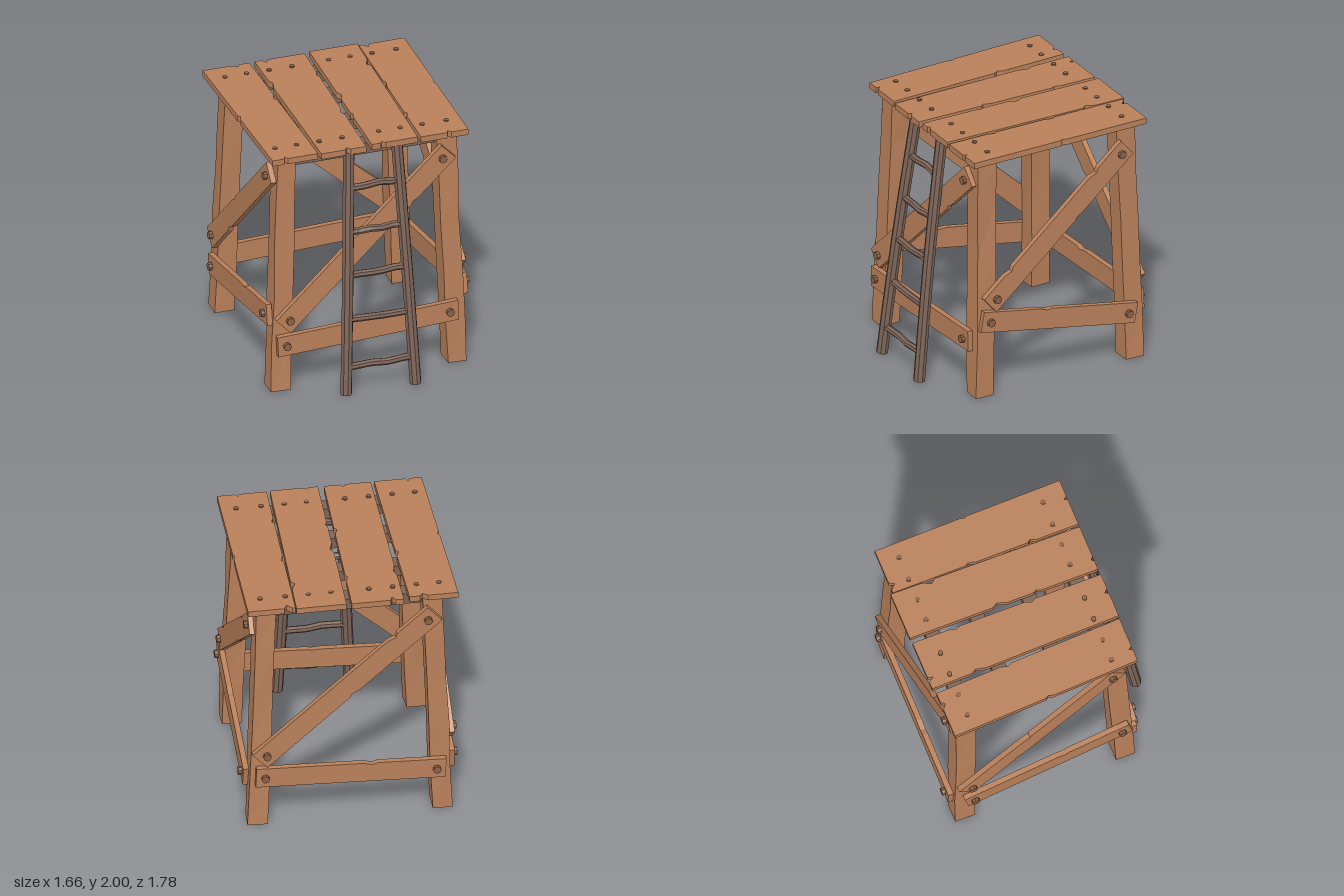
import * as THREE from 'three';

const H = 1.945; // leg height
const mat = (color) => new THREE.MeshStandardMaterial({ color, flatShading: true });
const V = (x, y, z) => new THREE.Vector3(x, y, z);
const lerp = THREE.MathUtils.lerp;

export function createModel() {
  const group = new THREE.Group();
  const wood = mat(0xb9805a), dark = mat(0x7d6458), nailMat = mat(0x8c6248);

  let seed = 7;
  const rand = () => (seed = (seed * 16807) % 2147483647) / 2147483647 - 0.5;

  const add = (name, geo, material, parent = group) => {
    const mesh = new THREE.Mesh(geo, material);
    mesh.name = name;
    parent.add(mesh);
    return mesh;
  };

  // Counter-clockwise outline with triangular chips [edge, position, half width, depth]
  const chippedBoard = (corners, chips, depth) => {
    const pts = [];
    corners.forEach(([x, y], i) => {
      const [nx, ny] = corners[(i + 1) % corners.length];
      const len = Math.hypot(nx - x, ny - y), dx = (nx - x) / len, dy = (ny - y) / len;
      pts.push(new THREE.Vector2(x, y));
      chips.filter((c) => c[0] === i).sort((a, b) => a[1] - b[1]).forEach(([, t, w, d]) => {
        const at = (s, inset) => new THREE.Vector2(x + dx * s - dy * inset, y + dy * s + dx * inset);
        pts.push(at(t * len - w, 0), at(t * len - w * 0.3, d), at(t * len + w, 0));
      });
    });
    return new THREE.ExtrudeGeometry(new THREE.Shape(pts), { depth, bevelEnabled: false });
  };

  // Deck planks: back-left x, back-right x, front-left x, front-right x, back z, front z, base y, chips
  const planks = [
    [-0.815, -0.445, -0.77, -0.41, -0.85, 0.645, 1.943, [[0, 0.3, 0.015, 0.03], [1, 0.62, 0.04, 0.02], [3, 0.52, 0.03, 0.015], [2, 0.3, 0.03, 0.03]]],
    [-0.4, -0.005, -0.385, -0.03, -0.865, 0.65, 1.938, [[0, 0.6, 0.02, 0.03], [1, 0.38, 0.04, 0.02], [1, 0.78, 0.04, 0.015], [3, 0.25, 0.06, 0.02], [2, 0.8, 0.02, 0.04]]],
    [0.035, 0.415, 0.015, 0.38, -0.87, 0.645, 1.944, [[0, 0.25, 0.02, 0.02], [1, 0.8, 0.05, 0.03], [3, 0.48, 0.06, 0.025], [3, 0.68, 0.03, 0.015]]],
    [0.42, 0.78, 0.405, 0.78, -0.85, 0.645, 1.94, [[0, 0.6, 0.015, 0.03], [1, 0.52, 0.03, 0.01], [3, 0.42, 0.05, 0.015], [3, 0.75, 0.03, 0.02], [2, 0.85, 0.03, 0.04]]],
  ];
  for (const [bl, br, fl, fr, zb, zf, y, chips] of planks) {
    const geo = chippedBoard([[fl, -zf], [fr, -zf], [br, -zb], [bl, -zb]], chips, 0.048);
    geo.rotateX(-Math.PI / 2);
    add('deckPlank', geo, wood).position.y = y;
  }

  // Nail heads
  for (const x of [-0.69, -0.52, -0.34, -0.16, 0.13, 0.3, 0.475, 0.665])
    for (const z of [-0.7, 0.465])
      add('nail', new THREE.CylinderGeometry(0.02, 0.02, 0.03, 8), nailMat).position.set(x, 1.983, z);

  // Joists under the deck
  for (const z of [-0.69, -0.33, 0.09, 0.47])
    add('joist', new THREE.BoxGeometry(1.2, 0.09, 0.112), dark).position.set(0, 1.9, z);

  // Legs lean inward, with slightly uneven edges
  for (const sx of [-1, 1]) for (const front of [true, false]) {
    const geo = new THREE.BoxGeometry(0.15, H, 0.157, 1, 5, 1).toNonIndexed();
    const p = geo.attributes.position, offsets = {};
    for (let i = 0; i < p.count; i++) {
      const t = p.getY(i) / H + 0.5;
      const key = [p.getX(i), p.getY(i), p.getZ(i)].map((n) => n.toFixed(2)).join();
      const o = (offsets[key] ??= [rand() * 0.012, rand() * 0.012]);
      p.setXYZ(i, p.getX(i) + sx * lerp(0.7, 0.63, t) + o[0], t * H,
        p.getZ(i) + (front ? lerp(0.547, 0.488, t) : lerp(-0.755, -0.712, t)) + o[1]);
    }
    geo.computeVertexNormals();
    add(front ? 'frontLeg' : 'backLeg', geo, wood);
  }

  // Outer leg faces that the boards are bolted to: point on the face and outward normal
  const faces = {
    front: [(a, y) => V(a, y, lerp(0.625, 0.567, y / H)), V(0, 0, 1)],
    back: [(a, y) => V(a, y, lerp(-0.833, -0.79, y / H)), V(0, 0, -1)],
    right: [(a, y) => V(lerp(0.775, 0.705, y / H), y, a), V(1, 0, 0)],
    left: [(a, y) => V(lerp(-0.775, -0.705, y / H), y, a), V(-1, 0, 0)],
  };

  // Bolted board between two points on a face
  const boltedBoard = (name, side, a0, y0, a1, y1, chips) => {
    const [at, out] = faces[side];
    const p = at(a0, y0), q = at(a1, y1), len = p.distanceTo(q), w = 0.083, thick = 0.042;
    const dir = q.clone().sub(p).normalize();
    const up = out.clone().cross(dir).normalize(), normal = dir.clone().cross(up);
    const board = new THREE.Group();
    board.name = name;
    board.applyMatrix4(new THREE.Matrix4().makeBasis(dir, up, normal).setPosition(p));
    group.add(board);
    add(name + 'Board', chippedBoard([[0, -w], [len, -w], [len, w], [0, w]], chips, thick), wood, board);
    for (const x of [0.07, len - 0.07]) {
      const bolt = add('bolt', new THREE.CylinderGeometry(0.031, 0.031, 0.05, 8), nailMat, board);
      bolt.rotation.x = Math.PI / 2;
      bolt.position.set(x, 0, thick + 0.003);
    }
  };
  boltedBoard('frontRail', 'front', -0.73, 0.39, 0.7, 0.46, [[2, 0.45, 0.05, 0.008]]);
  boltedBoard('backRail', 'back', 0.72, 0.45, -0.72, 0.39, [[2, 0.4, 0.06, 0.015]]);
  boltedBoard('rightRail', 'right', 0.58, 0.64, -0.75, 0.39, [[2, 0.6, 0.05, 0.012]]);
  boltedBoard('leftRail', 'left', -0.75, 0.39, 0.58, 0.64, [[2, 0.4, 0.05, 0.012]]);
  boltedBoard('frontBrace', 'front', -0.685, 0.555, 0.635, 1.805, [[0, 0.75, 0.04, 0.012]]);
  boltedBoard('backBrace', 'back', 0.69, 0.6, -0.64, 1.8, [[2, 0.2, 0.05, 0.02], [0, 0.5, 0.05, 0.015]]);
  boltedBoard('rightBrace', 'right', 0.51, 0.76, -0.7, 1.77, [[2, 0.82, 0.05, 0.02], [2, 0.2, 0.05, 0.02], [0, 0.6, 0.04, 0.01]]);
  boltedBoard('leftBrace', 'left', -0.75, 0.61, 0.5, 1.81, [[2, 0.55, 0.04, 0.012], [0, 0.3, 0.05, 0.015]]);

  // Round pole along a path, with capped ends
  const pole = (name, pts, radius, sides, segs) => {
    const curve = new THREE.CatmullRomCurve3(pts);
    add(name, new THREE.TubeGeometry(curve, segs, radius, sides, false), dark);
    for (const t of [0, 1]) {
      const cap = add(name + 'End', new THREE.CircleGeometry(radius, sides), dark);
      const end = curve.getPoint(t), tan = curve.getTangent(t).multiplyScalar(t ? 1 : -1);
      cap.position.copy(end);
      cap.lookAt(end.clone().add(tan));
    }
  };

  // Ladder
  const railX = (s, y) => (s < 0 ? lerp(-0.255, -0.155, y / 1.94) : lerp(0.295, 0.227, y / 1.94));
  const railZ = (y) => lerp(0.84, 0.605, y / 1.94) + 0.012 * Math.sin(y * 1.6);
  for (const s of [-1, 1])
    pole('ladderRail', [0.006, 0.5, 1.0, 1.5, 1.94].map((y) => V(railX(s, y), y, railZ(y))), 0.045, 8, 8);
  for (const y of [0.225, 0.6, 0.96, 1.305, 1.655]) {
    const pts = [0, 0.2, 0.4, 0.6, 0.8, 1].map((t) =>
      V(lerp(railX(-1, y), railX(1, y), t), y + rand() * 0.014, railZ(y) + rand() * 0.014));
    pole('ladderRung', pts, 0.028, 7, 10);
  }
  return group;
}
